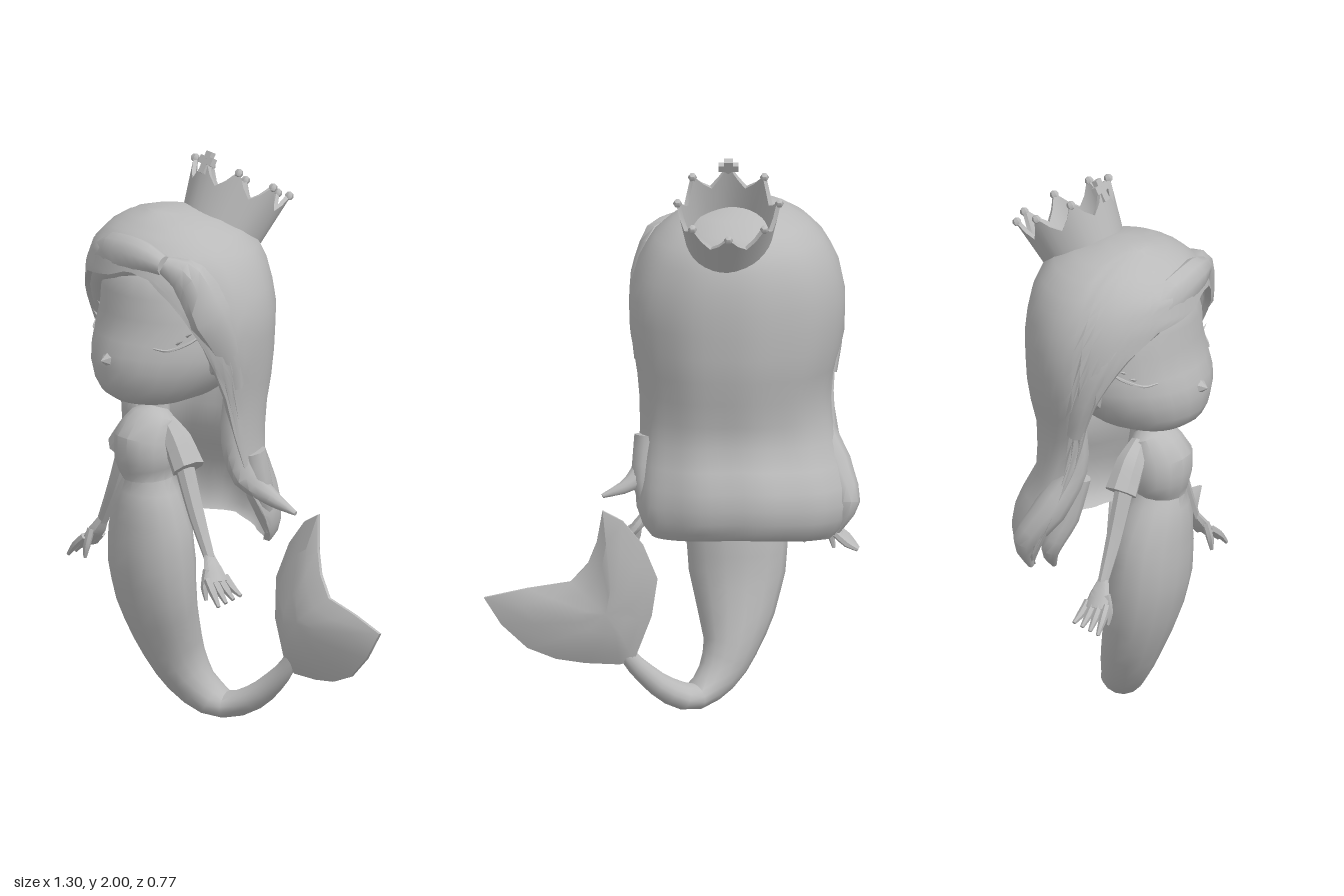
import * as THREE from 'three';
import { toCreasedNormals } from 'three/addons/utils/BufferGeometryUtils.js';

const grey = new THREE.MeshStandardMaterial({ color: 0xbababa, side: THREE.DoubleSide });
grey.name = 'plain grey';
const CX = -0.215; // body's middle line

// Piecewise linear lookup in rows sorted by their first value
function lookup(rows, k) {
  if (k <= rows[0][0]) return rows[0].slice(1);
  for (let i = 1; i < rows.length; i++) {
    if (k <= rows[i][0]) {
      const a = rows[i - 1], b = rows[i], f = (k - a[0]) / (b[0] - a[0]);
      return a.slice(1).map((v, j) => v + (b[j + 1] - v) * f);
    }
  }
  return rows[rows.length - 1].slice(1);
}

// Skin closed rings of equal size, optionally capped at both ends
function loft(rings, capped = true) {
  const n = rings[0].length, pos = [], idx = [];
  rings.forEach(r => r.forEach(p => pos.push(p.x, p.y, p.z)));
  for (let i = 0; i + 1 < rings.length; i++) {
    for (let j = 0; j < n; j++) {
      const a = i * n + j, b = i * n + (j + 1) % n;
      idx.push(a, b, b + n, a, b + n, a + n);
    }
  }
  if (capped) [0, rings.length - 1].forEach((r, end) => {
    const c = new THREE.Vector3();
    rings[r].forEach(p => c.addScaledVector(p, 1 / n));
    const k = pos.length / 3;
    pos.push(c.x, c.y, c.z);
    for (let j = 0; j < n; j++) {
      const a = r * n + j, b = r * n + (j + 1) % n;
      end ? idx.push(k, a, b) : idx.push(k, b, a);
    }
  });
  const g = new THREE.BufferGeometry();
  g.setAttribute('position', new THREE.Float32BufferAttribute(pos, 3));
  g.setIndex(idx);
  return g;
}

// Sweep an ellipse along points [x, y, z, sideRadius, depthRadius]
function sweep(pts, sides = 8, per = 3) {
  const curve = new THREE.CatmullRomCurve3(pts.map(p => new THREE.Vector3(p[0], p[1], p[2])));
  const radii = pts.map((p, i) => [i, p[3], p[4] ?? p[3]]);
  const n = (pts.length - 1) * per, rings = [];
  for (let i = 0; i <= n; i++) {
    const c = curve.getPoint(i / n), t = curve.getTangent(i / n), [ru, rv] = lookup(radii, i / per);
    const u = new THREE.Vector3(0, 0, 1).cross(t).normalize(), v = t.clone().cross(u);
    rings.push(Array.from({ length: sides }, (_, j) => {
      const a = j / sides * Math.PI * 2;
      return c.clone().addScaledVector(u, ru * Math.cos(a)).addScaledVector(v, rv * Math.sin(a));
    }));
  }
  return loft(rings);
}

function add(parent, name, geometry) {
  const m = new THREE.Mesh(toCreasedNormals(geometry, 0.7), grey);
  m.name = name;
  parent.add(m);
  return m;
}

function headGeometry() {
  // y, half width, centre z, half depth
  const rows = [[1.16, 0.07, 0.17, 0.07], [1.172, 0.13, 0.16, 0.13], [1.2, 0.19, 0.13, 0.2], [1.24, 0.23, 0.1, 0.25],
    [1.3, 0.268, 0.07, 0.288], [1.35, 0.283, 0.05, 0.303], [1.4, 0.285, 0.05, 0.285], [1.48, 0.282, 0.04, 0.27], [1.56, 0.275, 0.03, 0.28],
    [1.64, 0.23, 0.03, 0.26], [1.72, 0.15, 0.03, 0.17]];
  return loft(rows.map(([y, rx, zc, rz]) => Array.from({ length: 24 }, (_, j) => {
    const a = j / 24 * Math.PI * 2;
    return new THREE.Vector3(CX + rx * Math.sin(a), y, zc + rz * Math.cos(a));
  })));
}

function hairGeometry() {
  // y, centre x, half width, centre z, back depth, front depth
  const rows = [[0.64, -0.24, 0.3, -0.12, 0.08, 0.08], [0.69, -0.245, 0.345, -0.1, 0.165, 0.09], [0.76, -0.25, 0.375, -0.08, 0.215, 0.1],
    [0.85, -0.25, 0.37, -0.04, 0.25, 0.12], [1, -0.225, 0.335, 0, 0.22, 0.15], [1.15, -0.215, 0.328, 0.01, 0.25, 0.2],
    [1.25, -0.22, 0.345, 0.015, 0.28, 0.22], [1.35, -0.225, 0.37, 0.03, 0.305, 0.26], [1.5, -0.225, 0.375, 0.03, 0.31, 0.3],
    [1.62, -0.23, 0.345, 0.03, 0.3, 0.305], [1.7, -0.23, 0.3, 0.04, 0.28, 0.28], [1.76, -0.235, 0.235, 0.045, 0.23, 0.22],
    [1.8, -0.235, 0.165, 0.05, 0.15, 0.15], [1.825, -0.245, 0.06, 0.07, 0.07, 0.07]];
  // hem height by angle from the front
  const hem = [[-180, 0.68], [-135, 0.66], [-100, 0.65], [-86, 0.74], [-76, 1.15], [-65, 1.36], [-50, 1.51], [-30, 1.6], [0, 1.63],
    [15, 1.66], [30, 1.64], [45, 1.55], [60, 1.4], [76, 1.15], [86, 0.78], [100, 0.66], [135, 0.66], [180, 0.68]];
  const N = 60, R = 20;
  const ring = (v, inner) => Array.from({ length: N }, (_, j) => {
    const deg = j / N * 360 - 180, a = deg * Math.PI / 180, c = Math.cos(a);
    const thick = inner ? 0.025 + 0.03 * Math.max(0, -c) : 0;
    const y = THREE.MathUtils.lerp(lookup(hem, deg)[0], 1.825, v * v * (3 - 2 * v));
    const [cx, rx, zc, rb, rf] = lookup(rows, y);
    const groove = 1 + 0.02 * Math.sin(a * 10) * (1 - v) * Math.max(0, -c);
    const k = Math.max(0.1, groove - thick / rx);
    return new THREE.Vector3(cx + rx * k * Math.sin(a), y - thick * v, zc + (c < 0 ? rb : rf) * k * c);
  });
  const rings = [];
  for (let i = R; i >= 0; i--) rings.push(ring(i / R, true));
  for (let i = 0; i <= R; i++) rings.push(ring(i / R, false));
  return loft(rings);
}

function crownGeometry() {
  // eight pointed wall, inside then outside
  const ring = (top, thick) => Array.from({ length: 32 }, (_, j) => {
    const a = j / 32 * Math.PI * 2, h = top ? [0.195, 0.145, 0.115, 0.145][j % 4] : -0.04;
    const r = 0.14 + 0.22 * Math.max(h, 0) - thick;
    return new THREE.Vector3(r * Math.sin(a), h, r * Math.cos(a));
  });
  return loft([ring(true, 0.015), ring(false, 0.015), ring(false, 0), ring(true, 0), ring(true, 0.015)], false);
}

function flukeGeometry() {
  const outline = [[0.18, 0.205], [0.3, 0.21], [0.4, 0.225], [0.5, 0.265], [0.59, 0.35], [0.65, 0.45], [0.5, 0.485], [0.35, 0.51],
    [0.29, 0.58], [0.26, 0.66], [0.24, 0.78], [0.17, 0.74], [0.1, 0.65], [0.05, 0.52], [0.07, 0.38], [0.13, 0.22]];
  const ring = (s, bulge) => outline.map(([x, y]) => new THREE.Vector3(
    0.2 + (x - 0.2) * s, 0.38 + (y - 0.38) * s, -0.165 - 0.14 * Math.max(0, (y - 0.38) * s) + bulge));
  return loft([ring(0.3, -0.05), ring(0.7, -0.03), ring(1, -0.005), ring(1, 0.005), ring(0.7, 0.03), ring(0.3, 0.04)]);
}

export function createModel() {
  const model = new THREE.Group();
  model.name = 'mermaid';

  // Torso running down into the curled tail
  add(model, 'bodyAndTail', sweep([
    [-0.21, 1.13, 0.14, 0.04], [-0.21, 1.1, 0.15, 0.095, 0.07], [-0.21, 1.02, 0.185, 0.118, 0.11], [-0.21, 0.95, 0.185, 0.115, 0.105],
    [-0.205, 0.89, 0.18, 0.09, 0.09], [-0.21, 0.8, 0.175, 0.138, 0.115], [-0.22, 0.7, 0.16, 0.168, 0.132],
    [-0.225, 0.58, 0.15, 0.177, 0.137], [-0.225, 0.45, 0.13, 0.167, 0.125], [-0.22, 0.32, 0.09, 0.135, 0.11], [-0.2, 0.2, 0.045, 0.095],
    [-0.155, 0.11, 0, 0.072, 0.075], [-0.08, 0.055, -0.06, 0.046, 0.065], [0.01, 0.09, -0.11, 0.045, 0.055],
    [0.09, 0.16, -0.14, 0.038], [0.15, 0.23, -0.155, 0.03, 0.025], [0.2, 0.33, -0.16, 0.02, 0.012]], 14, 2));
  add(model, 'tailFin', flukeGeometry());

  // Head and face
  add(model, 'neck', new THREE.CylinderGeometry(0.036, 0.042, 0.16, 10)).position.set(CX, 1.15, 0.13);
  add(model, 'head', headGeometry());
  const nose = add(model, 'nose', new THREE.ConeGeometry(0.035, 0.04, 6));
  nose.position.set(CX, 1.33, 0.36);
  nose.rotation.x = Math.PI / 2;

  // Mirrored parts: ears, closed eyes and arms
  for (const s of [1, -1]) {
    const side = new THREE.Group();
    side.name = s > 0 ? 'leftSide' : 'rightSide';
    side.position.x = CX;
    side.scale.x = s;
    model.add(side);
    add(side, 'ear', sweep([[0.26, 1.31, 0.09, 0.03, 0.02], [0.3, 1.35, 0.1, 0.045, 0.025], [0.335, 1.4, 0.09, 0.008]], 6));
    add(side, 'closedEye', sweep([[0.17, 1.395, 0.28, 0.003], [0.21, 1.39, 0.248, 0.005], [0.255, 1.42, 0.185, 0.006], [0.275, 1.45, 0.14, 0.003]], 5));
    for (let i = 0; i < 3; i++) {
      const lash = add(side, 'eyelash', new THREE.ConeGeometry(0.008, 0.05, 4));
      lash.position.set(0.235 + i * 0.015, 1.42 + i * 0.025, 0.218 - i * 0.03);
      lash.rotation.z = -1.1;
    }
    add(side, 'sleeve', sweep([[0.06, 1.09, 0.14, 0.03], [0.12, 1.03, 0.14, 0.052], [0.185, 0.945, 0.14, 0.055, 0.06]], 8));
    add(side, 'arm', sweep([[0.14, 1, 0.14, 0.036], [0.19, 0.88, 0.14, 0.032], [0.235, 0.78, 0.14, 0.028], [0.305, 0.65, 0.14, 0.019]], 8));
    add(side, 'palm', sweep([[0.3, 0.66, 0.14, 0.016, 0.02], [0.33, 0.615, 0.143, 0.02, 0.038], [0.365, 0.575, 0.145, 0.015, 0.044]], 8));
    for (let i = 0; i < 4; i++) {
      const z = 0.108 + i * 0.025;
      add(side, 'finger', sweep([[0.35, 0.59, z, 0.014], [0.39, 0.555, z - 0.004 + i * 0.004, 0.014],
        [0.428, 0.535 - i * 0.008, z - 0.01 + i * 0.007, 0.007]], 6, 2));
    }
    add(side, 'thumb', sweep([[0.33, 0.62, 0.17, 0.014], [0.335, 0.56, 0.185, 0.013], [0.345, 0.515, 0.185, 0.006]], 6, 2));
  }

  // Hair: main shell, then fringe and loose locks
  add(model, 'hair', hairGeometry());
  const locks = {
    fringe: [[-0.03, 1.69, 0.245, 0.035], [-0.13, 1.7, 0.265, 0.065, 0.055], [-0.27, 1.675, 0.265, 0.085, 0.06], [-0.41, 1.6, 0.21, 0.08, 0.06],
      [-0.505, 1.48, 0.14, 0.065, 0.055], [-0.545, 1.34, 0.08, 0.045], [-0.54, 1.2, 0.04, 0.03]],
    leftFringe: [[-0.04, 1.69, 0.24, 0.035], [0.025, 1.64, 0.18, 0.075, 0.07], [0.075, 1.52, 0.12, 0.07, 0.1], [0.1, 1.4, 0.06, 0.045, 0.08],
      [0.1, 1.25, 0.03, 0.03, 0.035]],
    leftLock: [[0.08, 1.25, 0.02, 0.04], [0.06, 1.05, 0.01, 0.045, 0.05], [0.08, 0.92, -0.03, 0.045, 0.06], [0.14, 0.84, -0.09, 0.03], [0.24, 0.8, -0.12, 0.008]],
    leftTip: [[0.08, 1, -0.05, 0.05], [0.09, 0.85, -0.08, 0.05], [0.08, 0.7, -0.12, 0.012]],
    rightLock: [[-0.51, 1.25, 0.02, 0.04], [-0.5, 1.05, 0.01, 0.05], [-0.56, 0.9, -0.05, 0.06], [-0.605, 0.78, -0.12, 0.045], [-0.57, 0.67, -0.12, 0.01]],
    rightTip: [[-0.46, 1, 0, 0.05], [-0.49, 0.85, -0.03, 0.05], [-0.52, 0.73, -0.07, 0.035], [-0.45, 0.63, -0.1, 0.01]],
  };
  for (const [name, pts] of Object.entries(locks)) add(model, name, sweep(pts, 10));

  // Crown, tilted back, with a small cross on its front point
  const crown = new THREE.Group();
  crown.name = 'crown';
  crown.position.set(-0.195, 1.73, -0.13);
  crown.rotation.x = -0.5;
  model.add(crown);
  add(crown, 'crownWall', crownGeometry());
  add(crown, 'crossUpright', new THREE.BoxGeometry(0.03, 0.08, 0.02)).position.set(0, 0.18, 0.172);
  add(crown, 'crossBar', new THREE.BoxGeometry(0.07, 0.028, 0.02)).position.set(0, 0.187, 0.172);
  for (let i = 1; i < 8; i++) {
    const a = i * Math.PI / 4;
    add(crown, 'crownBead', new THREE.SphereGeometry(0.016, 6, 4)).position.set(0.176 * Math.sin(a), 0.187, 0.176 * Math.cos(a));
  }
  return model;
}
